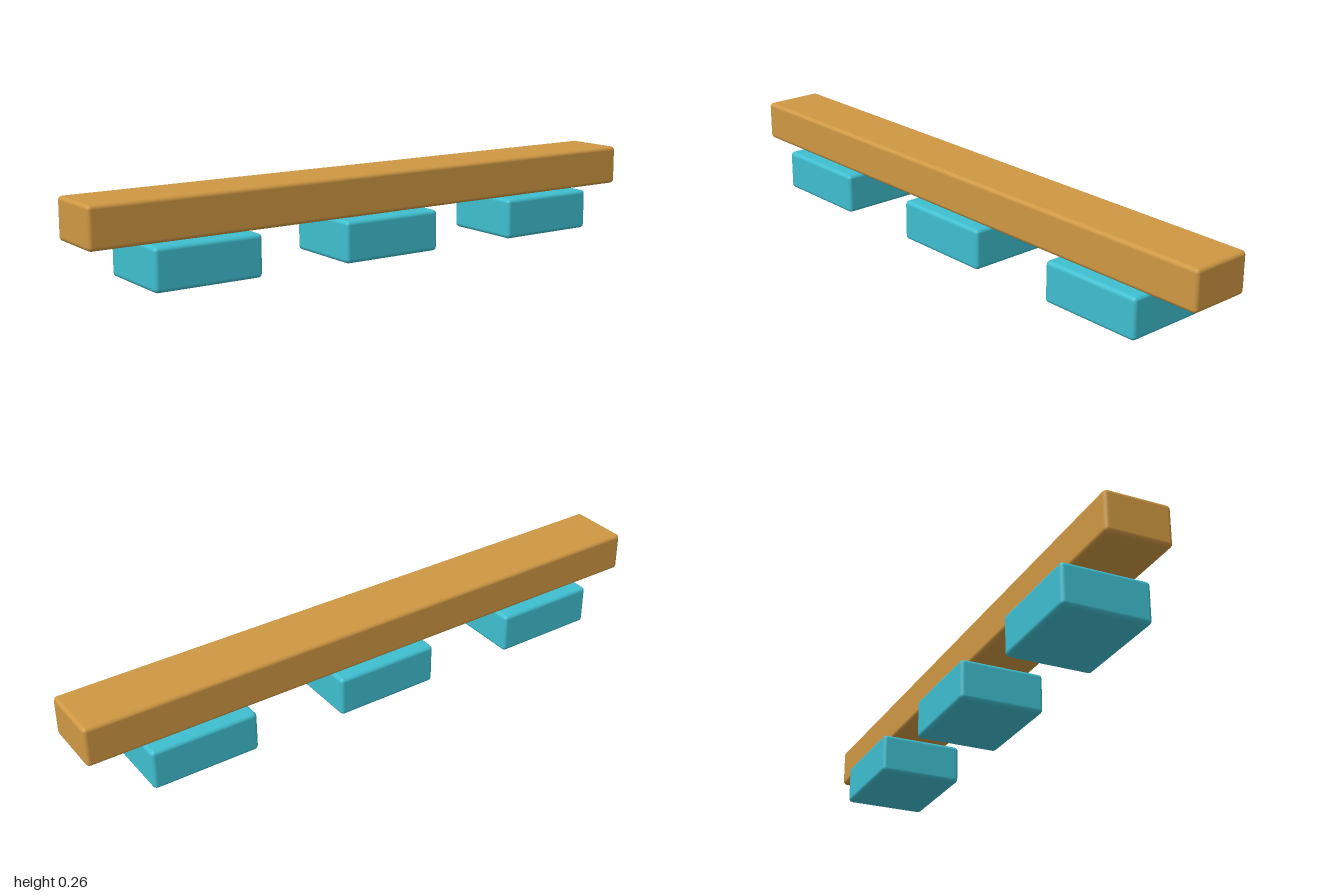
import * as THREE from 'three';
import { RoundedBoxGeometry } from 'three/addons/geometries/RoundedBoxGeometry.js';

export function createModel() {
  const model = new THREE.Group();
  model.name = 'beamOnBlocks';

  const wood = new THREE.MeshStandardMaterial({ color: 0xcf9843 });
  wood.name = 'ochre wood';
  const teal = new THREE.MeshStandardMaterial({ color: 0x3fbfd0 });
  teal.name = 'teal';

  // Box with softly rounded edges, placed by its underside
  function addBlock(name, width, height, depth, x, bottom, material) {
    const mesh = new THREE.Mesh(new RoundedBoxGeometry(width, height, depth, 2, 0.013), material);
    mesh.name = name;
    mesh.position.set(x, bottom + height / 2, 0);
    model.add(mesh);
  }

  // Long beam
  addBlock('beam', 2, 0.13, 0.204, 0, 0.134, wood);

  // Three wider support blocks
  const supports = { rightSupport: -0.647, middleSupport: 0, leftSupport: 0.647 };
  for (const [name, x] of Object.entries(supports)) {
    addBlock(name, 0.35, 0.132, 0.278, x, 0, teal);
  }

  return model;
}
